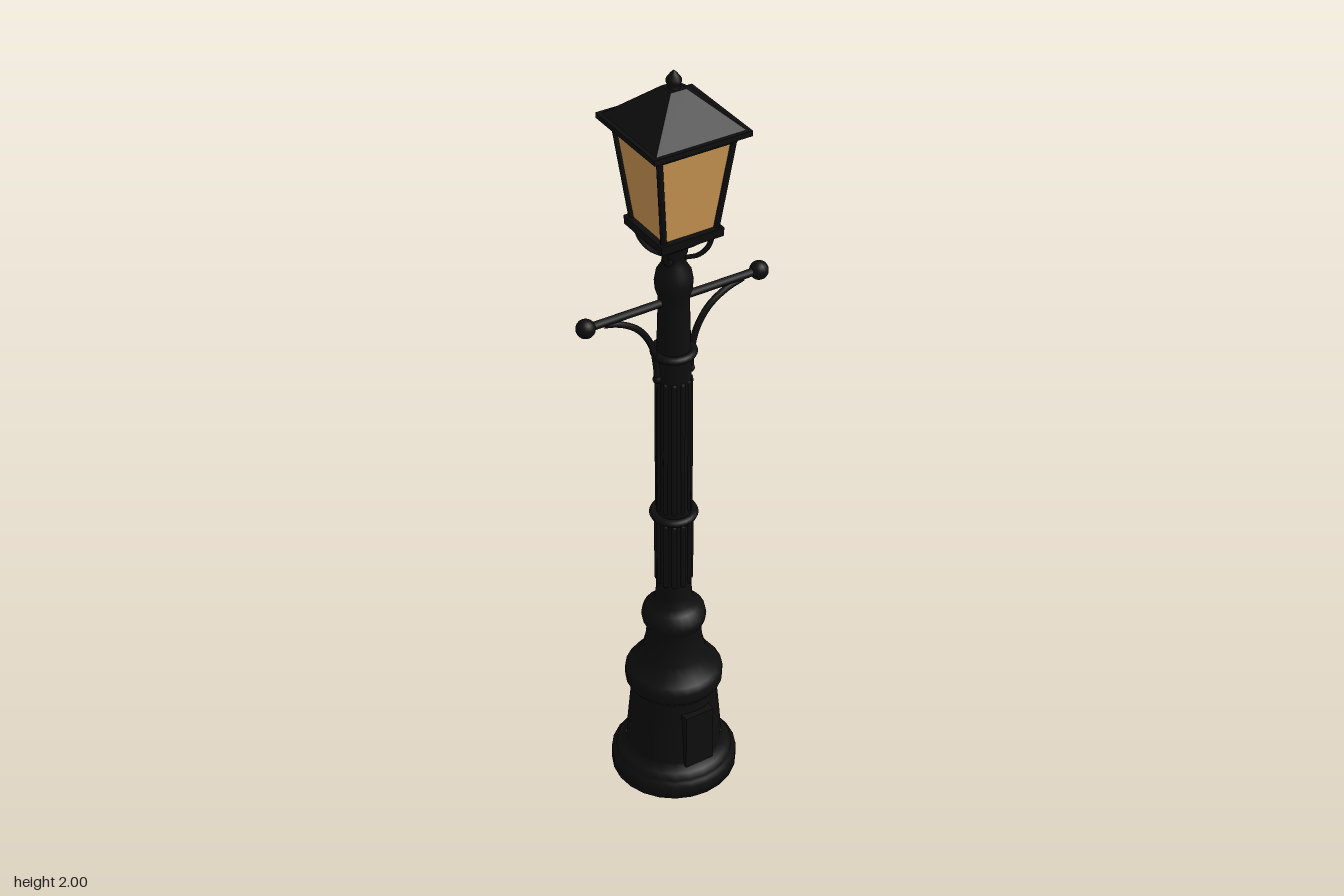
import * as THREE from 'three';

const iron = new THREE.MeshStandardMaterial({ color: 0x0e0e0e });
iron.name = 'blackIron';
const glassMat = new THREE.MeshStandardMaterial({ color: 0xd09a55 });
glassMat.name = 'amberGlass';

function add(parent, name, geometry, material = iron) {
  const mesh = new THREE.Mesh(geometry, material);
  mesh.name = name;
  parent.add(mesh);
  return mesh;
}

// Revolved part from [radius, height] pairs
const lathe = (pts, sides = 24) =>
  new THREE.LatheGeometry(pts.map(([r, y]) => new THREE.Vector2(r, y)), sides);

// Square frustum given by half widths at its bottom and top heights
function frustum(b, y0, t, y1, open = false) {
  const g = new THREE.CylinderGeometry(t * Math.SQRT2, b * Math.SQRT2, y1 - y0, 4, 1, open);
  g.rotateY(Math.PI / 4).translate(0, (y0 + y1) / 2, 0);
  const flat = g.toNonIndexed();
  flat.computeVertexNormals();
  return flat;
}

// Straight bar between two points
function bar(a, b, r, sides = 8) {
  return new THREE.TubeGeometry(new THREE.LineCurve3(a, b), 1, r, sides);
}

const V = (x, y, z = 0) => new THREE.Vector3(x, y, z);

function createPost() {
  const post = new THREE.Group();
  post.name = 'post';

  // Stepped plinth and flared pedestal
  add(post, 'plinth', lathe([[0, 0], [0.161, 0], [0.161, 0.034], [0.149, 0.038], [0.149, 0.05],
    [0.138, 0.064], [0.126, 0.07], [0.122, 0.085]]));
  add(post, 'pedestal', lathe([[0.122, 0.08], [0.118, 0.15], [0.108, 0.262], [0.112, 0.275],
    [0.123, 0.288], [0.123, 0.315], [0.112, 0.33], [0.095, 0.345], [0.081, 0.375], [0.072, 0.41],
    [0.067, 0.455], [0.078, 0.475], [0.081, 0.49], [0.077, 0.508], [0.062, 0.522],
    [0.05, 0.535], [0.045, 0.56], [0.043, 0.6]]));

  // Shaft with bulb and neck
  add(post, 'shaft', lathe([[0.043, 0.59], [0.041, 1.25], [0.037, 1.4], [0.037, 1.432],
    [0.043, 1.45], [0.045, 1.473], [0.041, 1.497], [0.03, 1.515], [0.026, 1.535],
    [0.032, 1.55], [0.026, 1.565], [0.03, 1.59]]));

  // Raised ribs along the shaft
  const ribs = 12;
  for (let i = 0; i < ribs; i++) {
    const a = (i / ribs) * Math.PI * 2;
    for (const [y0, y1, r] of [[0.6, 0.795, 0.041], [0.825, 1.21, 0.0385]]) {
      const rib = add(post, 'shaftRib', new THREE.CapsuleGeometry(0.0075, y1 - y0 - 0.015, 2, 6));
      rib.position.set(Math.sin(a) * r, (y0 + y1) / 2, Math.cos(a) * r);
    }
  }

  // Collar rings
  for (const [y, r] of [[0.81, 0.05], [1.28, 0.046]]) {
    const ring = add(post, 'collarRing', new THREE.TorusGeometry(r, 0.01, 8, 24));
    ring.rotation.x = Math.PI / 2;
    ring.position.y = y;
  }

  // Access door on the pedestal front
  add(post, 'accessDoor', new THREE.BoxGeometry(0.08, 0.165, 0.05)).position.set(0, 0.16, 0.1);
  return post;
}

function createLadderRest() {
  const rest = new THREE.Group();
  rest.name = 'ladderRest';
  add(rest, 'crossbar', bar(V(-0.23, 1.42), V(0.23, 1.42), 0.01, 10));
  for (const s of [-1, 1]) {
    add(rest, 'endBall', new THREE.SphereGeometry(0.023, 16, 12)).position.set(s * 0.23, 1.42, 0);
    // Curved brace under the bar, with a small curl at its foot
    const curve = new THREE.CatmullRomCurve3([V(s * 0.185, 1.414), V(s * 0.145, 1.402),
      V(s * 0.095, 1.37), V(s * 0.06, 1.315), V(s * 0.047, 1.25), V(s * 0.045, 1.215)]);
    add(rest, 'brace', new THREE.TubeGeometry(curve, 20, 0.008, 8));
    add(rest, 'braceFoot', new THREE.SphereGeometry(0.011, 10, 8)).position.set(s * 0.045, 1.215, 0);
  }
  return rest;
}

function createLantern() {
  const lantern = new THREE.Group();
  lantern.name = 'lantern';

  // Tapered tray and bottom frame
  add(lantern, 'tray', frustum(0.032, 1.565, 0.072, 1.605));
  add(lantern, 'bottomFrame', frustum(0.08, 1.603, 0.081, 1.625));

  // Glass, corner posts and top frame
  add(lantern, 'glass', frustum(0.066, 1.62, 0.094, 1.855, true), glassMat);
  add(lantern, 'topFrame', frustum(0.099, 1.843, 0.102, 1.865));
  for (const sx of [-1, 1]) {
    for (const sz of [-1, 1]) {
      add(lantern, 'cornerPost',
        bar(V(sx * 0.067, 1.615, sz * 0.067), V(sx * 0.095, 1.86, sz * 0.095), 0.0075));
      // Curved support from the neck to the tray corner
      const k = Math.SQRT1_2;
      const arm = new THREE.CatmullRomCurve3([[0.026, 1.535], [0.055, 1.545], [0.078, 1.57],
        [0.09, 1.61]].map(([d, y]) => V(sx * d * k, y, sz * d * k)));
      add(lantern, 'supportArm', new THREE.TubeGeometry(arm, 12, 0.006, 6));
    }
  }

  // Eaves, pyramid roof and finial
  add(lantern, 'eaves', frustum(0.123, 1.862, 0.123, 1.875));
  add(lantern, 'roof', frustum(0.113, 1.875, 0.02, 1.958));
  add(lantern, 'finial', lathe([[0.02, 1.95], [0.013, 1.962], [0.018, 1.972], [0.017, 1.98],
    [0.008, 1.992], [0, 2]], 12));
  return lantern;
}

export function createModel() {
  const model = new THREE.Group();
  model.name = 'streetLamp';
  model.add(createPost(), createLadderRest(), createLantern());
  return model;
}
